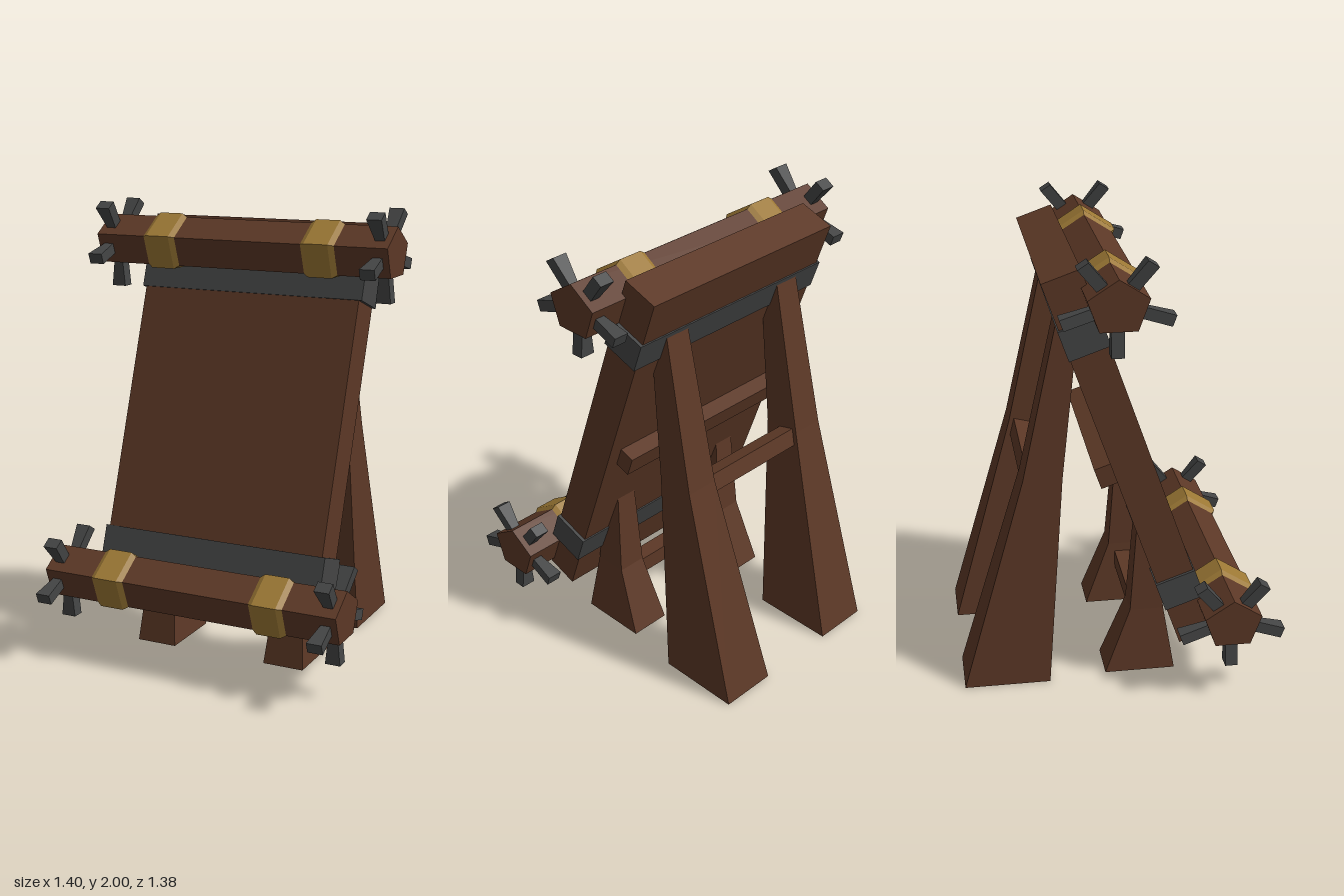
import * as THREE from 'three';

const wood = new THREE.MeshStandardMaterial({ color: 0x5c3826 });
wood.name = 'brown wood';
const iron = new THREE.MeshStandardMaterial({ color: 0x444545 });
iron.name = 'dark iron';
const brass = new THREE.MeshStandardMaterial({ color: 0x9c7835 });
brass.name = 'aged brass';

// Split faces so every facet is flat
function faceted(geometry) {
  const g = geometry.index ? geometry.toNonIndexed() : geometry;
  g.computeVertexNormals();
  return g;
}

function add(parent, name, geometry, material, x = 0, y = 0, z = 0) {
  const mesh = new THREE.Mesh(geometry, material);
  mesh.name = name;
  mesh.position.set(x, y, z);
  parent.add(mesh);
  return mesh;
}

// Post through rectangular sections [y, xMin, xMax, zMin, zMax], bottom to top
function post(sections, side) {
  const n = sections.length - 1;
  const g = new THREE.BoxGeometry(1, 1, 1, 1, n, 1);
  const p = g.attributes.position;
  for (let i = 0; i < p.count; i++) {
    const [y, x0, x1, z0, z1] = sections[Math.round((p.getY(i) + 0.5) * n)];
    const right = p.getX(i) > 0;
    const x = side > 0 ? (right ? x1 : x0) : (right ? -x0 : -x1);
    p.setXYZ(i, x, y, p.getZ(i) > 0 ? z1 : z0);
  }
  return faceted(g);
}

// Turn a five-sided solid so its axis runs along x with a ridge on top
function alongX(geometry) {
  return faceted(geometry.rotateY(Math.PI / 2).rotateZ(Math.PI / 2));
}

// Peg that widens towards its tip
function pegGeometry() {
  const g = new THREE.BoxGeometry(0.068, 0.15, 0.054).translate(0, 0.16, 0);
  const p = g.attributes.position;
  for (let i = 0; i < p.count; i++) {
    if (p.getY(i) < 0.16) p.setX(i, p.getX(i) * 0.58);
  }
  return faceted(g);
}

function roller(name, y, z) {
  const group = new THREE.Group();
  group.name = name;
  group.position.set(0, y, z);
  group.scale.y = 0.89;
  add(group, 'rollerBeam', alongX(new THREE.CylinderGeometry(0.131, 0.131, 1.4, 5)), wood);
  const profile = [[0.125, -0.085], [0.149, -0.055], [0.149, 0.055], [0.125, 0.085]]
    .map(([r, h]) => new THREE.Vector2(r, h));
  const peg = pegGeometry();
  for (const side of [-1, 1]) {
    add(group, 'rollerBand', alongX(new THREE.LatheGeometry(profile, 5)), brass, side * 0.382);
    for (let k = 0; k < 5; k++) {
      add(group, 'peg', peg, iron, side * 0.65).rotation.x = (36 + 72 * k) * Math.PI / 180;
    }
  }
  return group;
}

export function createModel() {
  const model = new THREE.Group();
  model.name = 'leaningRollerBoard';

  // Leaning board with two straps
  const board = new THREE.Group();
  board.name = 'board';
  board.position.set(0, 1.064, 0.045);
  board.rotation.x = -0.338;
  model.add(board);
  add(board, 'panel', new THREE.BoxGeometry(1.05, 1.777, 0.17), wood);
  for (const along of [-0.634, 0.614]) {
    add(board, 'strap', new THREE.BoxGeometry(1.08, 0.135, 0.182), iron, 0, along, 0);
  }

  // Rollers
  model.add(roller('upperRoller', 1.816, -0.045));
  model.add(roller('lowerRoller', 0.366, 0.46));

  // Legs
  const rear = [
    [0, 0.19, 0.45, -0.69, -0.31],
    [0.975, 0.262, 0.415, -0.41, -0.24],
    [1.7, 0.27, 0.39, -0.25, -0.16],
  ];
  const front = [
    [0, 0.225, 0.415, -0.055, 0.26],
    [0.3, 0.255, 0.39, 0.06, 0.21],
    [0.7, 0.27, 0.37, 0.09, 0.17],
  ];
  for (const side of [-1, 1]) {
    add(model, 'rearLeg', post(rear, side), wood);
    add(model, 'frontLeg', post(front, side), wood);
  }

  // Crossbars
  add(model, 'boardBatten', new THREE.BoxGeometry(0.92, 0.095, 0.085), wood, 0, 1.0, -0.055)
    .rotation.x = -0.338;
  add(model, 'rearCrossbar', new THREE.BoxGeometry(0.58, 0.08, 0.075), wood, 0, 0.94, -0.36)
    .rotation.x = 0.25;
  add(model, 'frontCrossbar', new THREE.BoxGeometry(0.56, 0.08, 0.08), wood, 0, 0.22, 0.13);

  return model;
}
